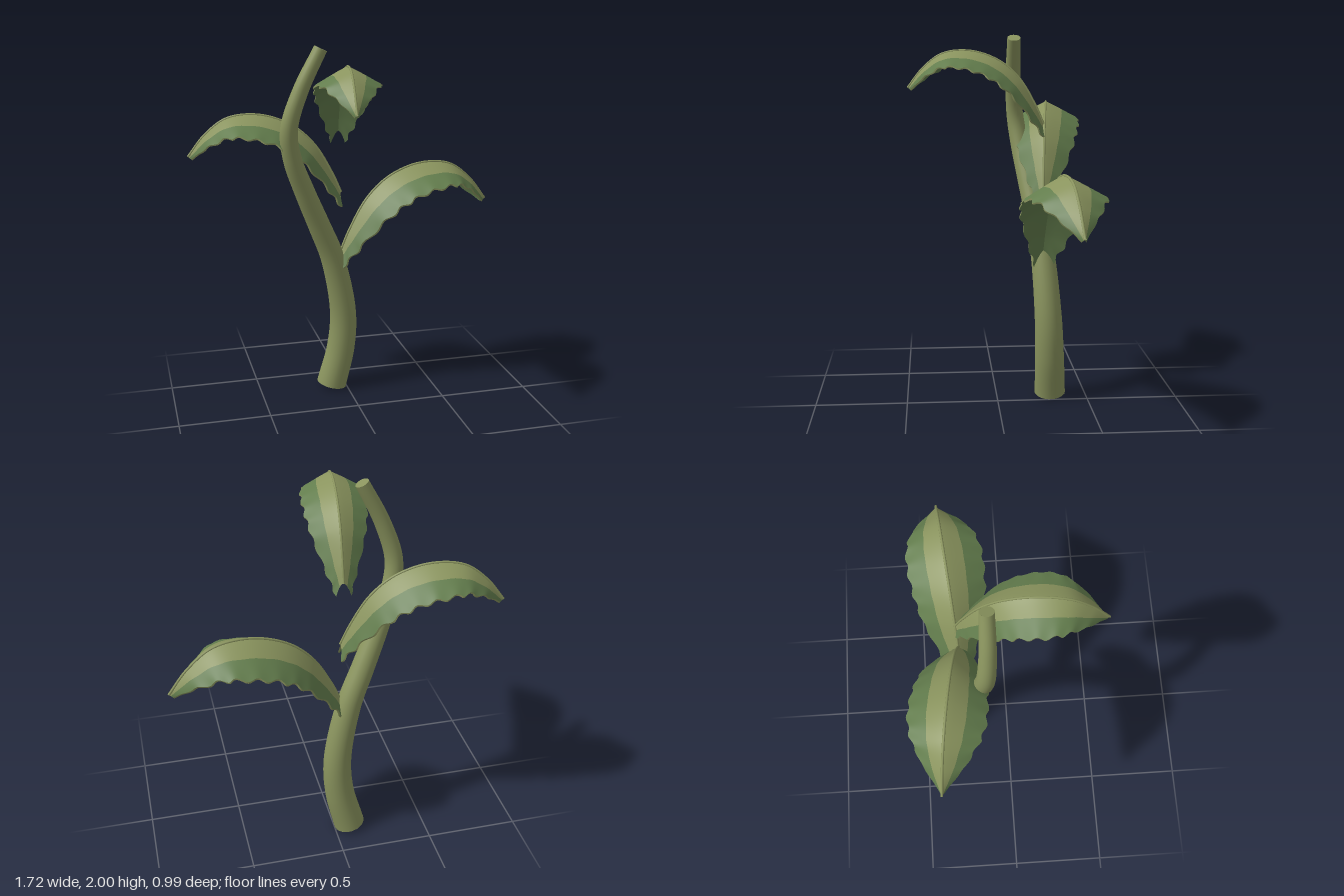
import * as THREE from 'three';

const olive = new THREE.MeshStandardMaterial({ color: 0x8a945e, side: THREE.DoubleSide });
olive.name = 'olive';
const green = new THREE.MeshStandardMaterial({ color: 0x637d4d, side: THREE.DoubleSide });
green.name = 'leafGreen';

const V = (x, y, z) => new THREE.Vector3(x, y, z);
const curve = (pts) => new THREE.CatmullRomCurve3(pts.map((p) => V(...p)));

function mesh(name, geometry, material) {
  const m = new THREE.Mesh(geometry, material);
  m.name = name;
  return m;
}

// Smooth surface through rows x cols points given by f(i, j), with i and j in 0..1
function grid(rows, cols, f, flip) {
  const pos = [], idx = [];
  for (let i = 0; i <= rows; i++)
    for (let j = 0; j <= cols; j++) pos.push(...f(i / rows, j / cols).toArray());
  for (let i = 0; i < rows; i++)
    for (let j = 0; j < cols; j++) {
      const a = i * (cols + 1) + j, b = a + 1, c = a + cols + 1, d = c + 1;
      if (flip) idx.push(a, c, b, b, c, d);
      else idx.push(a, b, c, b, d, c);
    }
  const g = new THREE.BufferGeometry();
  g.setAttribute('position', new THREE.Float32BufferAttribute(pos, 3));
  g.setIndex(idx);
  g.computeVertexNormals();
  return g;
}

// Tapered, bending tube with flat ends
function makeStem() {
  const group = new THREE.Group();
  group.name = 'stem';
  const path = curve([
    [-0.085, 0.017, -0.3], [-0.03, 0.25, -0.29], [-0.02, 0.47, -0.28], [-0.085, 0.8, -0.255],
    [-0.165, 1.0, -0.225], [-0.25, 1.2, -0.185], [-0.325, 1.4, -0.145], [-0.345, 1.56, -0.12],
    [-0.285, 1.76, -0.105], [-0.175, 1.98, -0.1],
  ]);
  const r0 = 0.086, r1 = 0.036, steps = 64, sides = 24;
  const g = new THREE.TubeGeometry(path, steps, 1, sides);
  const p = g.attributes.position, n = g.attributes.normal;
  for (let k = 0; k < p.count; k++) {
    const t = Math.floor(k / (sides + 1)) / steps;
    const s = 1 - (r0 + (r1 - r0) * t);
    p.setXYZ(k, p.getX(k) - n.getX(k) * s, p.getY(k) - n.getY(k) * s, p.getZ(k) - n.getZ(k) * s);
  }
  group.add(mesh('stalk', g, olive));
  for (const [t, r, dir] of [[0, r0, -1], [1, r1, 1]]) {
    const cap = mesh('stalkEnd', new THREE.CircleGeometry(r, sides), olive);
    const c = path.getPointAt(t);
    cap.position.copy(c);
    cap.lookAt(c.clone().addScaledVector(path.getTangentAt(t), dir));
    group.add(cap);
  }
  return group;
}

// Midrib arch, and at the same stations: half width, drop of the edge, backward sweep
const midrib = curve([
  [0, 0, 0], [0.055, 0.125, 0], [0.173, 0.323, 0], [0.32, 0.452, 0],
  [0.527, 0.523, 0], [0.733, 0.505, 0], [0.878, 0.4, 0], [0.99, 0.26, 0],
]);
const section = curve([
  [0.05, 0.03, 0.085], [0.11, 0.07, 0.05], [0.185, 0.115, 0.015], [0.215, 0.13, 0],
  [0.226, 0.125, 0], [0.2, 0.1, 0], [0.125, 0.065, 0], [0.012, 0.025, 0],
]);

// Point on the leaf: t from base to tip, v from edge (-1) to edge (1), depth below the top face
function leafPoint(t, v, depth) {
  const T = midrib.getTangent(t), N = V(-T.y, T.x, 0), s = section.getPoint(t);
  const a = Math.abs(v);
  const wave = Math.sin(t * Math.PI * 20 + (v > 0 ? 0.8 : 0)) * 0.008 * a * a * Math.min(1, 6 * (1 - t));
  return midrib.getPoint(t)
    .addScaledVector(N, -(s.y + wave) * Math.pow(a, 1.1) - depth)
    .addScaledVector(T, -s.z * a * a)
    .add(V(0, 0, (s.x + wave) * v));
}

function makeLeaf(name, position, angle, size) {
  const leaf = new THREE.Group();
  leaf.name = name;
  const thick = 0.01, rows = 80;
  const skin = (v0, v1, depth, flip) =>
    grid(rows, 5, (i, j) => leafPoint(i, v0 + (v1 - v0) * j, depth), flip);
  // Light centre, darker margins, dark underside
  for (const [v0, v1] of [[-0.5, 0], [0, 0.5]]) leaf.add(mesh('leafCentre', skin(v0, v1, 0), olive));
  for (const [v0, v1] of [[-1, -0.5], [0.5, 1]]) leaf.add(mesh('leafMargin', skin(v0, v1, 0), green));
  for (const [v0, v1] of [[-1, 0], [0, 1]]) leaf.add(mesh('leafUnderside', skin(v0, v1, thick, true), green));
  // Thin rim closing sides, base and tip
  for (const v of [-1, 1])
    leaf.add(mesh('leafRim', grid(rows, 1, (i, k) => leafPoint(i, v, k * thick), v < 0), olive));
  for (const t of [0, 1])
    leaf.add(mesh('leafEnd', grid(10, 1, (i, k) => leafPoint(t, 2 * i - 1, k * thick), t === 1), olive));
  // Raised central vein
  leaf.add(mesh('leafVein', new THREE.TubeGeometry(midrib, 64, 0.008, 8), olive));
  leaf.position.set(...position);
  leaf.rotation.y = angle;
  leaf.scale.setScalar(size);
  return leaf;
}

export function createModel() {
  const plant = new THREE.Group();
  plant.name = 'plant';
  plant.add(
    makeStem(),
    makeLeaf('leftLeaf', [-0.04, 0.836, -0.25], 0.1, 0.905),
    makeLeaf('rightLeaf', [-0.035, 1.18, -0.25], Math.PI - 0.133, 0.835),
    makeLeaf('frontLeaf', [-0.05, 1.526, -0.25], -Math.PI / 2 - 0.11, 0.735),
  );
  return plant;
}
